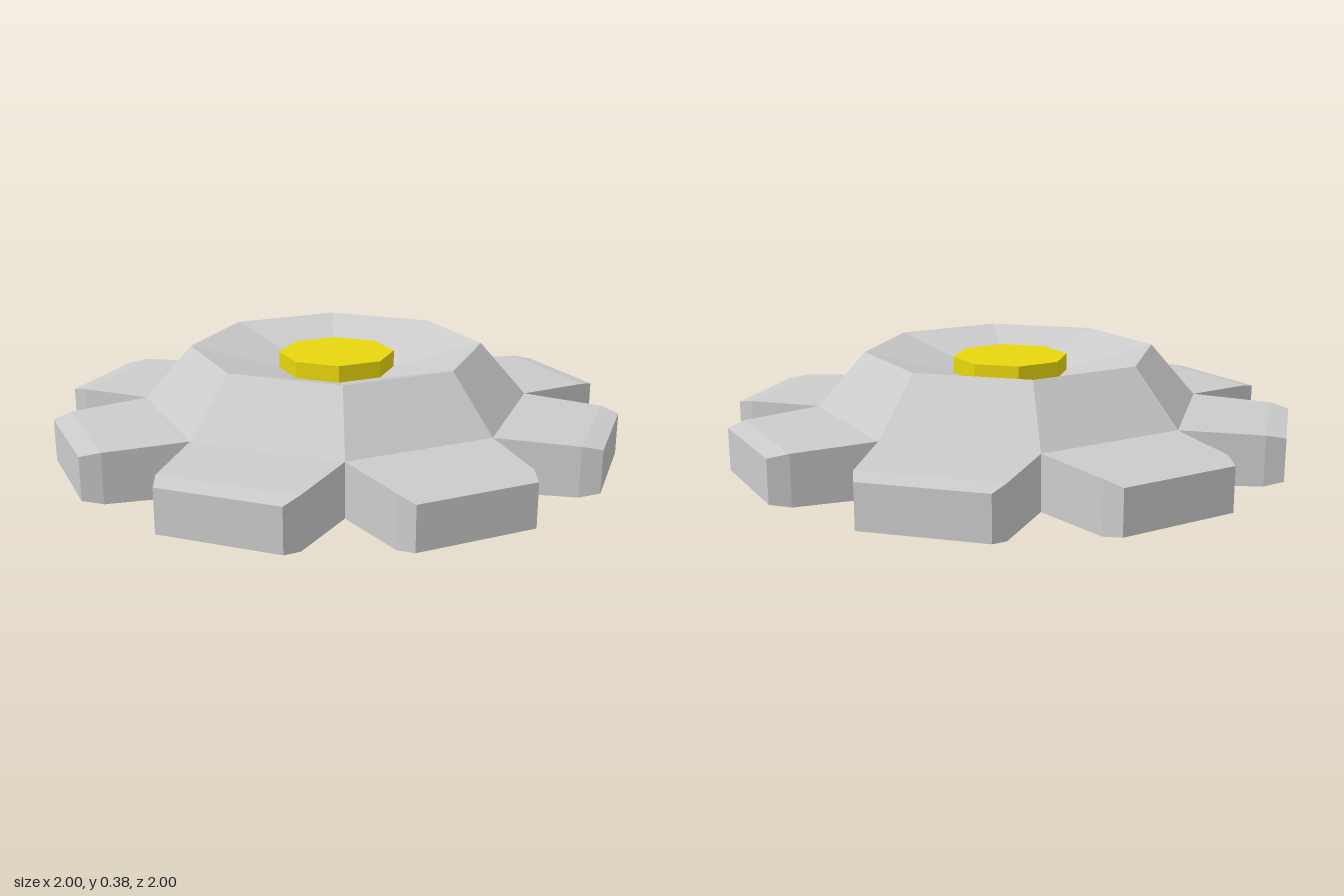
import * as THREE from 'three';

const grey = new THREE.MeshStandardMaterial({ color: 0xcccccc, flatShading: true });
const yellow = new THREE.MeshStandardMaterial({ color: 0xe8d60e, flatShading: true });
const SIDES = 8;

// Petal pointing along +z, lofted through rectangular sections
function petalGeometry() {
  // distance from centre, half width, bottom, top
  const sections = [
    [0.647, 0.268, 0, 0.19],
    [0.931, 0.235, 0.007, 0.183],
    [0.997, 0.208, 0.02, 0.17],
  ];
  const rings = sections.map(([z, w, b, t]) => [[-w, b, z], [w, b, z], [w, t, z], [-w, t, z]]);
  const pos = [];
  const quad = (a, b, c, d) => pos.push(...a, ...b, ...c, ...a, ...c, ...d);
  for (let i = 0; i < rings.length - 1; i++) {
    for (let j = 0; j < 4; j++) {
      const k = (j + 1) % 4;
      quad(rings[i][j], rings[i][k], rings[i + 1][k], rings[i + 1][j]);
    }
  }
  quad(...rings[rings.length - 1]);
  const geo = new THREE.BufferGeometry();
  geo.setAttribute('position', new THREE.Float32BufferAttribute(pos, 3));
  geo.computeVertexNormals();
  return geo;
}

function lathe(name, points) {
  const profile = points.map(([r, y]) => new THREE.Vector2(r, y));
  const mesh = new THREE.Mesh(new THREE.LatheGeometry(profile, SIDES), grey);
  mesh.name = name;
  return mesh;
}

export function createModel() {
  const model = new THREE.Group();
  model.name = 'flower';

  // Flat underside and raised cup with a shallow hollow
  model.add(lathe('underside', [[0, 0], [0.7, 0]]));
  model.add(lathe('cup', [[0.7, 0.19], [0.53, 0.385], [0, 0.245]]));

  // Yellow centre resting in the hollow
  const centre = new THREE.Mesh(new THREE.CylinderGeometry(0.21, 0.21, 0.1, SIDES), yellow);
  centre.name = 'flowerCentre';
  centre.position.y = 0.31;
  model.add(centre);

  // One petal on each side of the cup
  const petals = new THREE.Group();
  petals.name = 'petals';
  const geo = petalGeometry();
  for (let i = 0; i < SIDES; i++) {
    const petal = new THREE.Mesh(geo, grey);
    petal.name = 'petal';
    petal.rotation.y = ((i + 0.5) / SIDES) * Math.PI * 2;
    petals.add(petal);
  }
  model.add(petals);
  return model;
}
